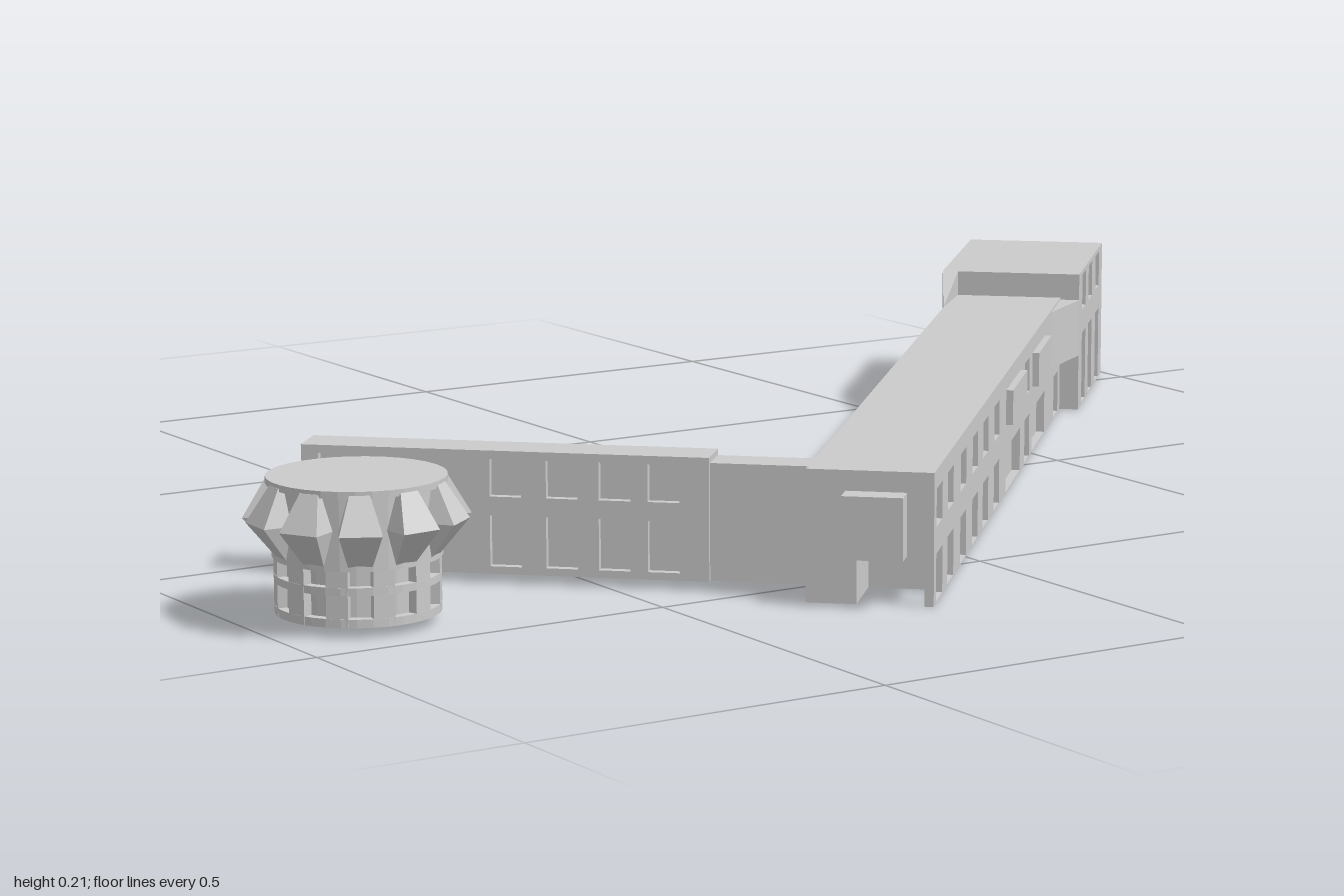
import * as THREE from 'three';
import { ConvexGeometry } from 'three/addons/geometries/ConvexGeometry.js';

const grey = new THREE.MeshStandardMaterial({ color: 0xcccccc, flatShading: true });
const WALL = 0.012; // depth of the window recesses

function add(parent, name, geometry) {
  const mesh = new THREE.Mesh(geometry, grey);
  mesh.name = name;
  parent.add(mesh);
  return mesh;
}

// Box given by its minimum and maximum corners
function block(parent, name, [x0, y0, z0], [x1, y1, z1]) {
  const geometry = new THREE.BoxGeometry(x1 - x0, y1 - y0, z1 - z0);
  geometry.translate((x0 + x1) / 2, (y0 + y1) / 2, (z0 + z1) / 2);
  return add(parent, name, geometry);
}

function hull(parent, name, points) {
  return add(parent, name, new ConvexGeometry(points.map((p) => new THREE.Vector3(...p))));
}

function rectangle(path, x0, y0, x1, y1) {
  path.moveTo(x0, y0);
  path.lineTo(x1, y0);
  path.lineTo(x1, y1);
  path.lineTo(x0, y1);
  path.closePath();
  return path;
}

// Wall plate with rows of windows; a window is [centre, width, bottom, top]
function facade(parent, name, x0, y0, x1, y1, windows) {
  const shape = rectangle(new THREE.Shape(), x0, y0, x1, y1);
  for (const [c, w, b, t] of windows) {
    shape.holes.push(rectangle(new THREE.Path(), c - w / 2, b, c + w / 2, t));
  }
  return add(parent, name, new THREE.ExtrudeGeometry(shape, { depth: WALL, bevelEnabled: false }));
}

// Long main wing: x runs along it, z = 0 is its windowed side
function mainWing() {
  const g = new THREE.Group();
  g.name = 'mainWing';
  const top = 0.175, back = -0.166;
  block(g, 'mainBody', [0.1, 0, back], [1.4, top, -WALL]);
  // Open corner porch at the near end
  block(g, 'porchCeiling', [0, 0.068, back], [0.1, top, -WALL]);
  block(g, 'porchBackWall', [0, 0, back], [0.1, 0.068, -0.1]);
  const narrow = [0.05, 0.155, 0.28, 0.4, 0.51, 0.63, 0.98];
  const wide = [[0.815, 0.165], [1.12, 0.155]];
  const windows = [];
  for (const c of narrow) {
    windows.push([c, 0.058, 0.002, 0.065]);
    windows.push([c, 0.055, 0.1, 0.15]);
  }
  for (const [c, w] of wide) windows.push([c, w, 0.002, 0.065]);
  windows.push([1.345, 0.055, 0.002, 0.065]);
  const wall = facade(g, 'mainFacade', 0, 0, 1.4, top, windows);
  wall.position.z = -WALL;
  // Shallow bays and the bay on the end wall
  for (const [c, w] of wide) {
    block(g, 'wideBayWindow', [c - w / 2, 0.1, -0.005], [c + w / 2, 0.15, 0.01]);
  }
  block(g, 'endBay', [-0.035, 0.065, -0.115], [0, 0.148, -0.035]);
  return g;
}

// Taller block at the far end, with tapered pieces joining it to the main wing
function endBlock() {
  const g = new THREE.Group();
  g.name = 'endBlock';
  const front = 0.029, back = -0.184, top = 0.212;
  block(g, 'endBody', [1.4, 0, back], [1.73, top, front - WALL]);
  const windows = [];
  for (const c of [1.47, 1.56, 1.66]) {
    windows.push([c, 0.05, 0.15, 0.205]);
    windows.push([c, 0.05, 0.002, 0.113]);
  }
  facade(g, 'endFacade', 1.4, 0, 1.73, top, windows).position.z = front - WALL;
  const overhang = [], backWall = [];
  for (const y of [0.085, 0.172]) overhang.push([1.28, y, 0], [1.4, y, 0], [1.4, y, front]);
  hull(g, 'taperedOverhang', overhang);
  for (const y of [0, top]) backWall.push([1.4, y, -0.16], [1.4, y, back]);
  backWall.push([1.28, 0, -0.166], [1.28, 0.175, -0.166]);
  hull(g, 'taperedBackWall', backWall);
  return g;
}

// Thin side wing behind the near end, windows facing outwards
function sideWing() {
  const g = new THREE.Group();
  g.name = 'sideWing';
  block(g, 'sideBody', [0.043 + WALL, 0.012, -0.844], [0.107, 0.176, -0.3]);
  const windows = [];
  for (const c of [-0.8, -0.57, -0.495, -0.425, -0.36]) {
    windows.push([c, 0.042, 0.115, 0.165]);
    windows.push([c, 0.042, 0.022, 0.09]);
  }
  const wall = facade(g, 'sideFacade', -0.844, 0.012, -0.3, 0.176, windows);
  wall.rotation.y = -Math.PI / 2;
  wall.position.x = 0.043 + WALL;
  block(g, 'wingLink', [0.05, 0.012, -0.3], [0.104, 0.168, -0.16]);
  block(g, 'towerBridge', [-0.1, 0.02, -0.745], [0.05, 0.066, -0.667]);
  return g;
}

// Round tower with a crown of folded bay windows
function roundTower() {
  const g = new THREE.Group();
  g.name = 'roundTower';
  const drum = (name, radius, y0, y1) => {
    const geometry = new THREE.CylinderGeometry(radius, radius, y1 - y0, 33);
    return add(g, name, geometry.translate(0, (y0 + y1) / 2, 0));
  };
  drum('towerCore', 0.094, 0.013, 0.1);
  drum('towerPlinth', 0.106, 0.013, 0.024);
  drum('towerBand', 0.106, 0.054, 0.064);
  drum('crownDrum', 0.108, 0.085, 0.18);
  drum('towerRoof', 0.115, 0.179, 0.188);
  const sections = [[0.115, 0.183, 0.013], [0.142, 0.136, 0.027], [0.106, 0.09, 0.015]];
  const count = 11;
  for (let i = 0; i < count; i++) {
    const angle = (i / count) * Math.PI * 2;
    const points = [];
    for (const [r, y, half] of sections) {
      for (const side of [-half, half]) points.push([r, y, side], [0.09, y, side]);
    }
    hull(g, 'crownBay', points).rotation.y = angle;
    const pier = block(g, 'towerPier', [0.085, 0.013, -0.014], [0.105, 0.09, 0.014]);
    pier.rotation.y = angle + Math.PI / count;
  }
  g.position.set(-0.194, 0, -0.707);
  return g;
}

export function createModel() {
  const model = new THREE.Group();
  model.name = 'angledBuilding';
  const site = new THREE.Group();
  site.name = 'building';
  site.add(mainWing(), endBlock(), sideWing(), roundTower());
  // The whole building stands diagonally on its site
  site.rotation.y = 0.816;
  site.position.set(-0.21, 0, 0.69);
  model.add(site);
  return model;
}
